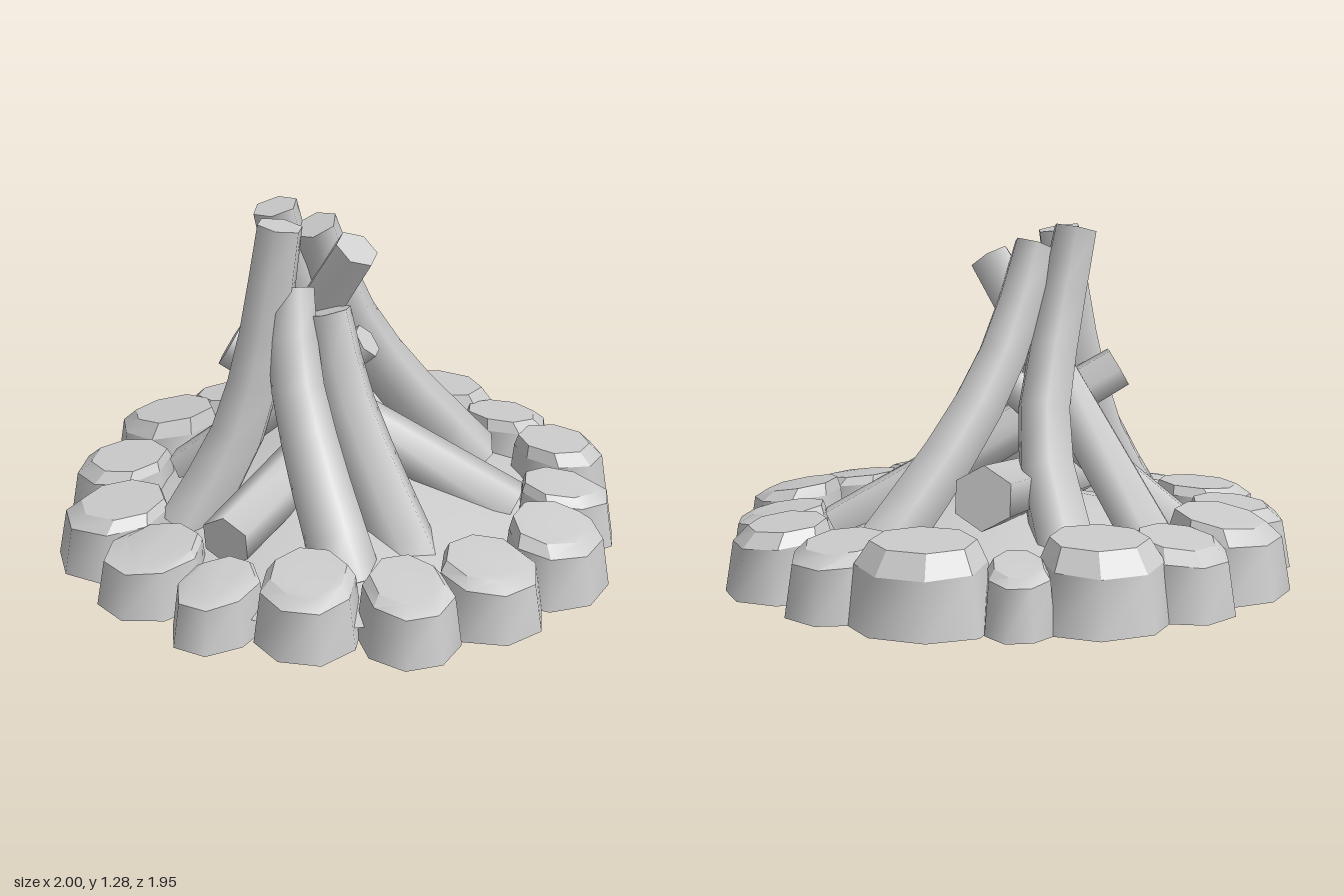
import * as THREE from 'three';
import { toCreasedNormals } from 'three/addons/utils/BufferGeometryUtils.js';

const material = new THREE.MeshStandardMaterial({ color: 0xcccccc, side: THREE.DoubleSide });

let seed = 7;
const jitter = (amount) => {
  seed = (seed * 16807) % 2147483647;
  return 1 + amount * (2 * seed / 2147483647 - 1);
};

// Joins rings of equal length into a skin, with optional end caps
function loft(rings, capStart, capEnd, crease) {
  const n = rings[0].length;
  const points = rings.flat();
  const index = [];
  for (let r = 0; r < rings.length - 1; r++) {
    for (let i = 0; i < n; i++) {
      const a = r * n + i, b = r * n + (i + 1) % n;
      index.push(a, b, b + n, a, b + n, a + n);
    }
  }
  const last = (rings.length - 1) * n;
  for (let i = 1; i < n - 1; i++) {
    if (capStart) index.push(0, i + 1, i);
    if (capEnd) index.push(last, last + i, last + i + 1);
  }
  const geometry = new THREE.BufferGeometry().setFromPoints(points);
  geometry.setIndex(index);
  return toCreasedNormals(geometry, crease);
}

function addMesh(parent, name, geometry) {
  const mesh = new THREE.Mesh(geometry, material);
  mesh.name = name;
  parent.add(mesh);
}

// Log: a six-sided bar swept along a straight or bent path
function log(parent, name, path, topRadius, footRadius) {
  const curve = new THREE.CatmullRomCurve3(path.map((p) => new THREE.Vector3(...p)));
  const steps = path.length > 2 ? 6 : 1;
  const sides = 6;
  const { normals, binormals } = curve.computeFrenetFrames(steps);
  const rings = [];
  for (let s = 0; s <= steps; s++) {
    const centre = curve.getPointAt(s / steps);
    const radius = THREE.MathUtils.lerp(topRadius, footRadius, s / steps);
    const ring = [];
    for (let i = 0; i < sides; i++) {
      const angle = (i / sides) * Math.PI * 2;
      ring.push(centre.clone()
        .addScaledVector(normals[s], radius * Math.cos(angle))
        .addScaledVector(binormals[s], radius * Math.sin(angle)));
    }
    rings.push(ring);
  }
  addMesh(parent, name, loft(rings, true, true, 1.1));
}

// Stone: straight tapered wall, open below, with a bevelled cap that slopes outward
function stone(parent, [x, z, across, deep, height]) {
  const group = new THREE.Group();
  group.name = 'stone';
  parent.add(group);
  const out = new THREE.Vector3(x, 0, z).normalize();
  const side = new THREE.Vector3(out.z, 0, -out.x);
  const wobble = Array.from({ length: 8 }, () => jitter(0.04) / Math.cos(Math.PI / 8));
  const ring = (scale, y, inward, tilt) => wobble.map((w, i) => {
    const angle = ((i + 0.5) / 8) * Math.PI * 2;
    const c = Math.cos(angle), s = Math.sin(angle);
    return new THREE.Vector3(x, y - tilt * c, z)
      .addScaledVector(out, deep * scale * w * c - inward)
      .addScaledVector(side, across * scale * w * s);
  });
  const shoulder = ring(0.87, 0.12 + height * 0.4, 0.005, 0.015);
  const lean = 0.015 * jitter(0.5);
  addMesh(group, 'stoneWall', loft([ring(1, 0.05, 0, 0), shoulder], false, false, 1.2));
  addMesh(group, 'stoneCap', loft([shoulder, ring(0.7, height - lean, 0.025, lean)], false, true, 0.5));
}

export function createModel() {
  const model = new THREE.Group();
  model.name = 'campfire';

  // Low mound whose rim runs inside the stones
  const mound = [[0.87, 0.12], [0.55, 0.21], [0.28, 0.28], [0, 0.32]];
  addMesh(model, 'groundMound',
    new THREE.LatheGeometry(mound.map(([r, y]) => new THREE.Vector2(r, y)), 16));

  // Ring of stones: x, z, half width along the ring, half depth, top height
  const stones = new THREE.Group();
  stones.name = 'stoneRing';
  model.add(stones);
  [
    [-0.01, -0.84, 0.11, 0.14, 0.28], [0.30, -0.765, 0.23, 0.19, 0.33],
    [0.57, -0.61, 0.17, 0.175, 0.30], [0.79, -0.36, 0.18, 0.18, 0.30],
    [0.825, -0.03, 0.155, 0.175, 0.28], [0.80, 0.32, 0.20, 0.17, 0.30],
    [0.59, 0.58, 0.18, 0.18, 0.28], [0.34, 0.77, 0.155, 0.18, 0.28],
    [0.01, 0.785, 0.17, 0.18, 0.29], [-0.29, 0.785, 0.14, 0.17, 0.24],
    [-0.55, 0.61, 0.17, 0.18, 0.26], [-0.745, 0.35, 0.20, 0.20, 0.28],
    [-0.82, -0.01, 0.20, 0.18, 0.28], [-0.735, -0.38, 0.21, 0.20, 0.33],
    [-0.55, -0.62, 0.17, 0.175, 0.31], [-0.28, -0.745, 0.22, 0.195, 0.33],
  ].forEach((s) => stone(stones, s));

  // Tall bent logs leaning together, listed from top to foot
  const logs = new THREE.Group();
  logs.name = 'logs';
  model.add(logs);
  [
    [[-0.18, 1.25, 0.16], [-0.25, 0.8, 0.18], [-0.33, 0.5, 0.22], [-0.5, 0.17, 0.31]],
    [[-0.15, 1.02, 0.14], [-0.12, 0.76, 0.24], [-0.04, 0.5, 0.36], [0.12, 0.12, 0.57]],
    [[-0.02, 0.94, 0.13], [0.05, 0.66, 0.18], [0.17, 0.4, 0.28], [0.35, 0.07, 0.43]],
    [[-0.09, 1.2, -0.02], [0.01, 0.87, -0.11], [0.16, 0.58, -0.22], [0.45, 0.18, -0.39]],
    [[-0.23, 1.26, -0.02], [-0.18, 1.0, -0.06], [-0.11, 0.55, -0.22], [-0.21, 0.08, -0.47]],
  ].forEach((path) => log(logs, 'tallLog', path, 0.082, 0.115));

  // Straight logs crossing between the tall ones: top, foot, top and foot radius
  [
    [[0.07, 1.15, 0.07], [-0.5, 0.16, -0.29], 0.08, 0.1],
    [[-0.39, 0.76, 0.04], [0.62, 0.17, 0], 0.08, 0.1],
    [[0.1, 0.79, 0.01], [-0.6, 0.2, -0.08], 0.065, 0.08],
    [[-0.3, 0.27, 0.6], [0.1, 0.41, -0.55], 0.095, 0.11],
  ].forEach(([top, foot, r1, r2]) => log(logs, 'straightLog', [top, foot], r1, r2));

  return model;
}
